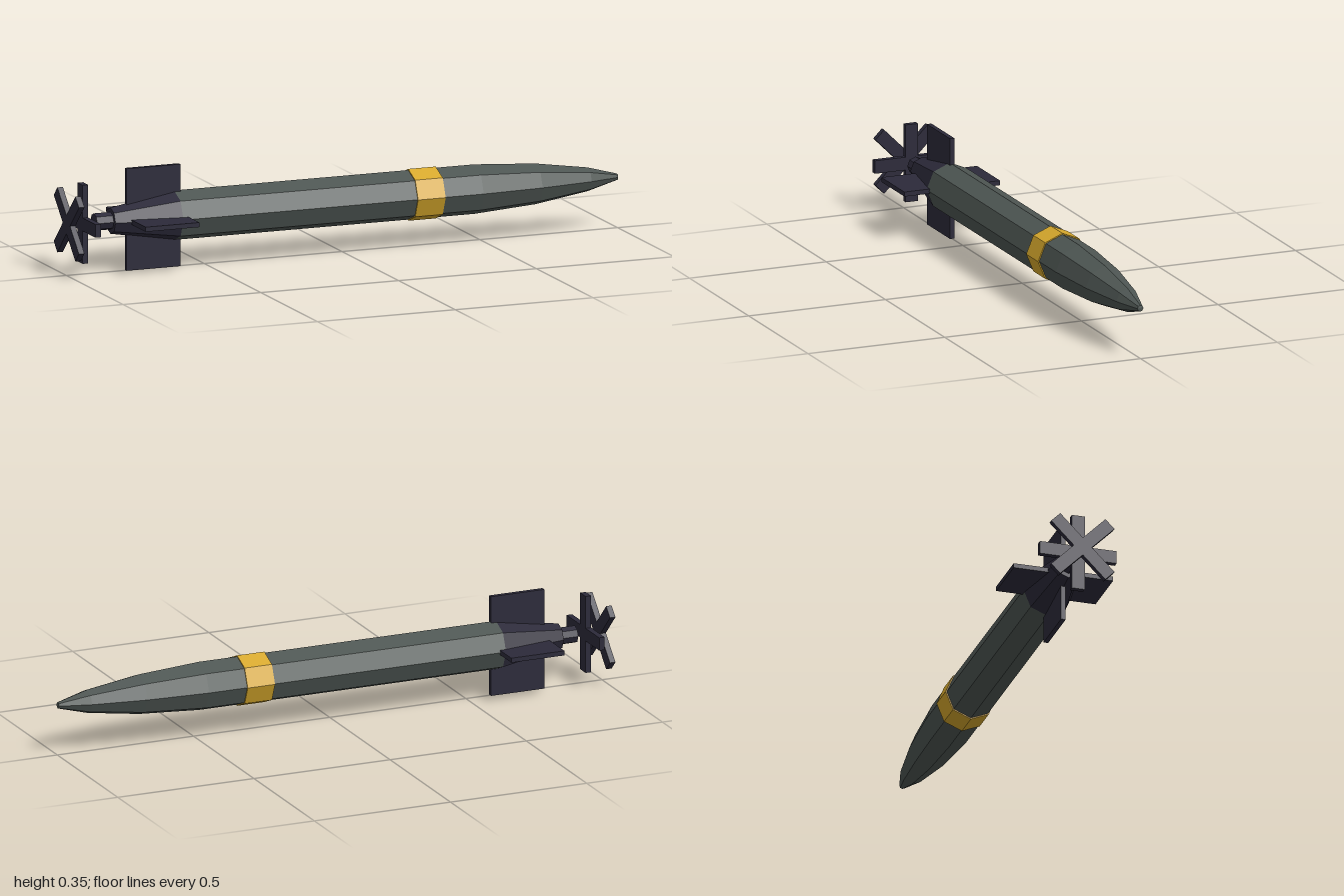
import * as THREE from 'three';

const AXIS_Y = 0.175;

export function createModel() {
  const hullGrey = new THREE.MeshStandardMaterial({ color: 0x4d5552 });
  hullGrey.name = 'hullGrey';
  const tailDark = new THREE.MeshStandardMaterial({ color: 0x2c2a3a });
  tailDark.name = 'tailDark';
  const bandYellow = new THREE.MeshStandardMaterial({ color: 0xd6a82c });
  bandYellow.name = 'bandYellow';
  for (const m of [hullGrey, tailDark, bandYellow]) m.flatShading = true;

  const model = new THREE.Group();
  model.name = 'torpedo';

  // Eight-sided body of revolution along x, from [x, radius] pairs
  const turned = (name, profile, material) => {
    const points = profile.map(([x, r]) => new THREE.Vector2(r, x));
    const mesh = new THREE.Mesh(new THREE.LatheGeometry(points, 8).rotateZ(-Math.PI / 2), material);
    mesh.name = name;
    mesh.position.y = AXIS_Y;
    model.add(mesh);
  };

  // Hull with rounded nose
  turned('hull', [
    [-0.61, 0], [-0.61, 0.085], [0.48, 0.085], [0.7, 0.07],
    [0.89, 0.041], [0.998, 0.011], [1, 0],
  ], hullGrey);

  // Warning band
  turned('warningBand', [
    [0.24, 0.08], [0.24, 0.089], [0.34, 0.089], [0.34, 0.08],
  ], bandYellow);

  // Tapered tail and propeller shaft
  turned('tailCone', [[-0.84, 0], [-0.84, 0.045], [-0.61, 0.085], [-0.61, 0]], tailDark);
  turned('propellerShaft', [[-0.9, 0], [-0.9, 0.03], [-0.83, 0.03]], tailDark);

  // Crossed pair of plates around the axis, used for fins and propellers
  const cross = (name, x, length, span, width, angle) => {
    const group = new THREE.Group();
    group.name = name;
    group.position.set(x, AXIS_Y, 0);
    for (let i = 0; i < 2; i++) {
      const plate = new THREE.Mesh(new THREE.BoxGeometry(length, span, width), tailDark);
      plate.name = name + 'Plate';
      plate.rotation.x = angle + i * Math.PI / 2;
      group.add(plate);
    }
    model.add(group);
  };

  cross('tailFins', -0.687, 0.195, 0.35, 0.016, 0);
  cross('frontPropeller', -0.94, 0.02, 0.27, 0.045, 0);
  cross('rearPropeller', -0.99, 0.02, 0.27, 0.045, Math.PI / 4);

  return model;
}
